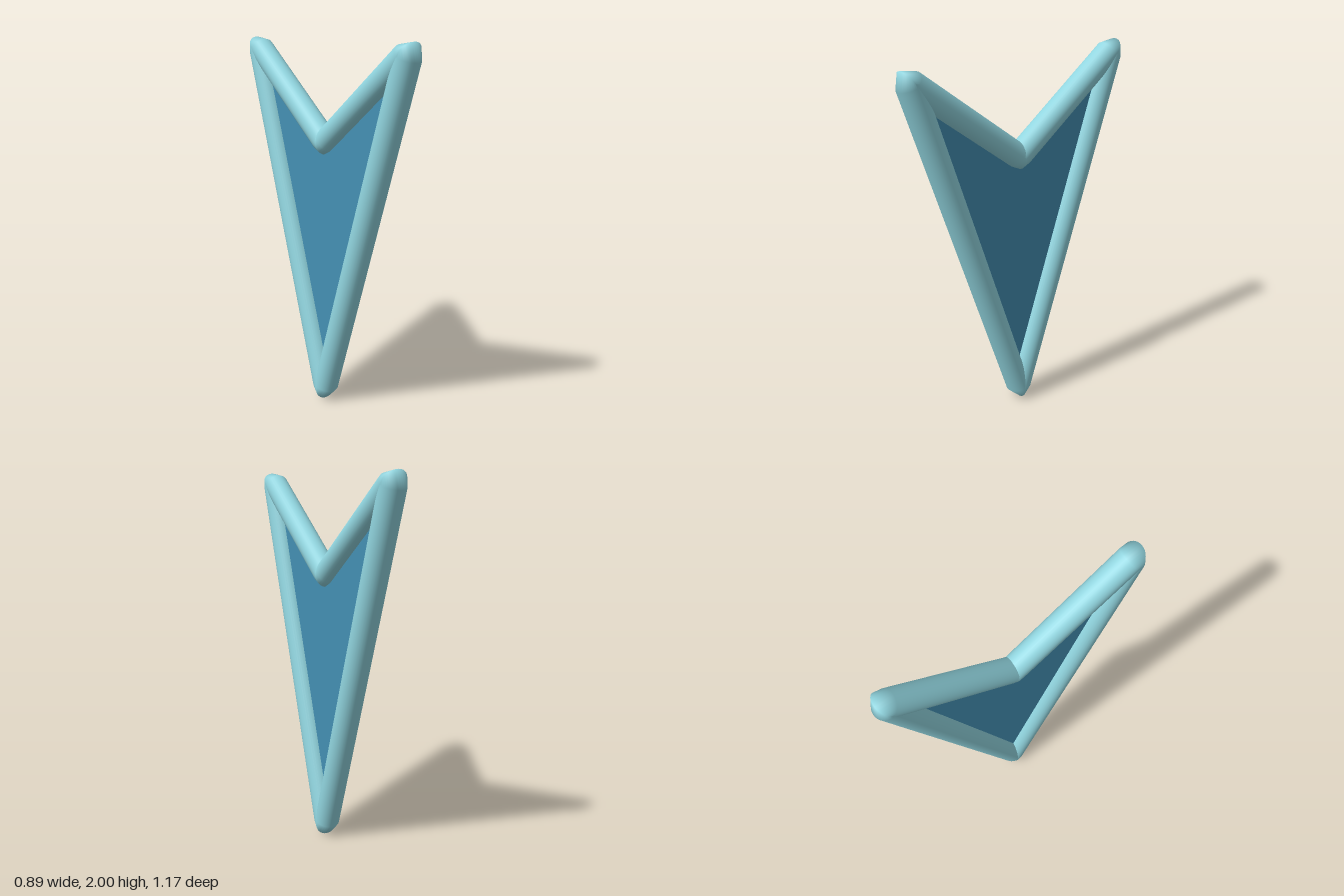
import * as THREE from 'three';

const RADIUS = 0.067;
const SIDES = 32;
const BEND = 0.02; // distance from a corner to the first straight ring

// Corners of the frame centreline, in the arrowhead's own plane
const corners = [
  [0, 0.067], [0.648, 1.946], [0, 1.468], [-0.648, 1.946],
].map(([x, y]) => new THREE.Vector2(x, y));

// Round tube around the closed outline, with three rings at each corner
function frameGeometry() {
  const count = corners.length;
  const rings = [];
  corners.forEach((p, i) => {
    const tIn = p.clone().sub(corners[(i + count - 1) % count]).normalize();
    const tOut = corners[(i + 1) % count].clone().sub(p).normalize();
    rings.push({ p: p.clone().addScaledVector(tIn, -BEND), t: tIn });
    rings.push({ p, t: tIn.clone().add(tOut).normalize() });
    rings.push({ p: p.clone().addScaledVector(tOut, BEND), t: tOut });
  });

  const positions = [], normals = [], index = [];
  rings.forEach(({ p, t }, i) => {
    const next = (i + 1) % rings.length;
    for (let j = 0; j < SIDES; j++) {
      const a = (j / SIDES) * Math.PI * 2;
      const n = [-t.y * Math.cos(a), t.x * Math.cos(a), Math.sin(a)];
      normals.push(...n);
      positions.push(p.x + RADIUS * n[0], p.y + RADIUS * n[1], RADIUS * n[2]);
      const k = (j + 1) % SIDES;
      const a0 = i * SIDES + j, a1 = i * SIDES + k;
      const b0 = next * SIDES + j, b1 = next * SIDES + k;
      index.push(a0, a1, b0, a1, b1, b0);
    }
  });

  const g = new THREE.BufferGeometry();
  g.setAttribute('position', new THREE.Float32BufferAttribute(positions, 3));
  g.setAttribute('normal', new THREE.Float32BufferAttribute(normals, 3));
  g.setIndex(index);
  return g;
}

export function createModel() {
  const frameBlue = new THREE.MeshStandardMaterial({ color: 0x91d5df });
  frameBlue.name = 'paleCyan';
  const panelBlue = new THREE.MeshStandardMaterial({ color: 0x4490b3 });
  panelBlue.name = 'deepBlue';

  const model = new THREE.Group();
  model.name = 'arrowhead';

  // Rounded border
  const frame = new THREE.Mesh(frameGeometry(), frameBlue);
  frame.name = 'frame';

  // Flat infill, its edges buried in the border
  const depth = 0.02;
  const panelGeometry = new THREE.ExtrudeGeometry(new THREE.Shape(corners), {
    depth, bevelEnabled: false,
  });
  panelGeometry.translate(0, 0, -depth / 2);
  const panel = new THREE.Mesh(panelGeometry, panelBlue);
  panel.name = 'panel';

  // The arrowhead stands turned about its vertical axis
  const turned = new THREE.Group();
  turned.name = 'arrowheadBody';
  turned.rotation.y = THREE.MathUtils.degToRad(-54);
  turned.add(frame, panel);
  model.add(turned);
  return model;
}
